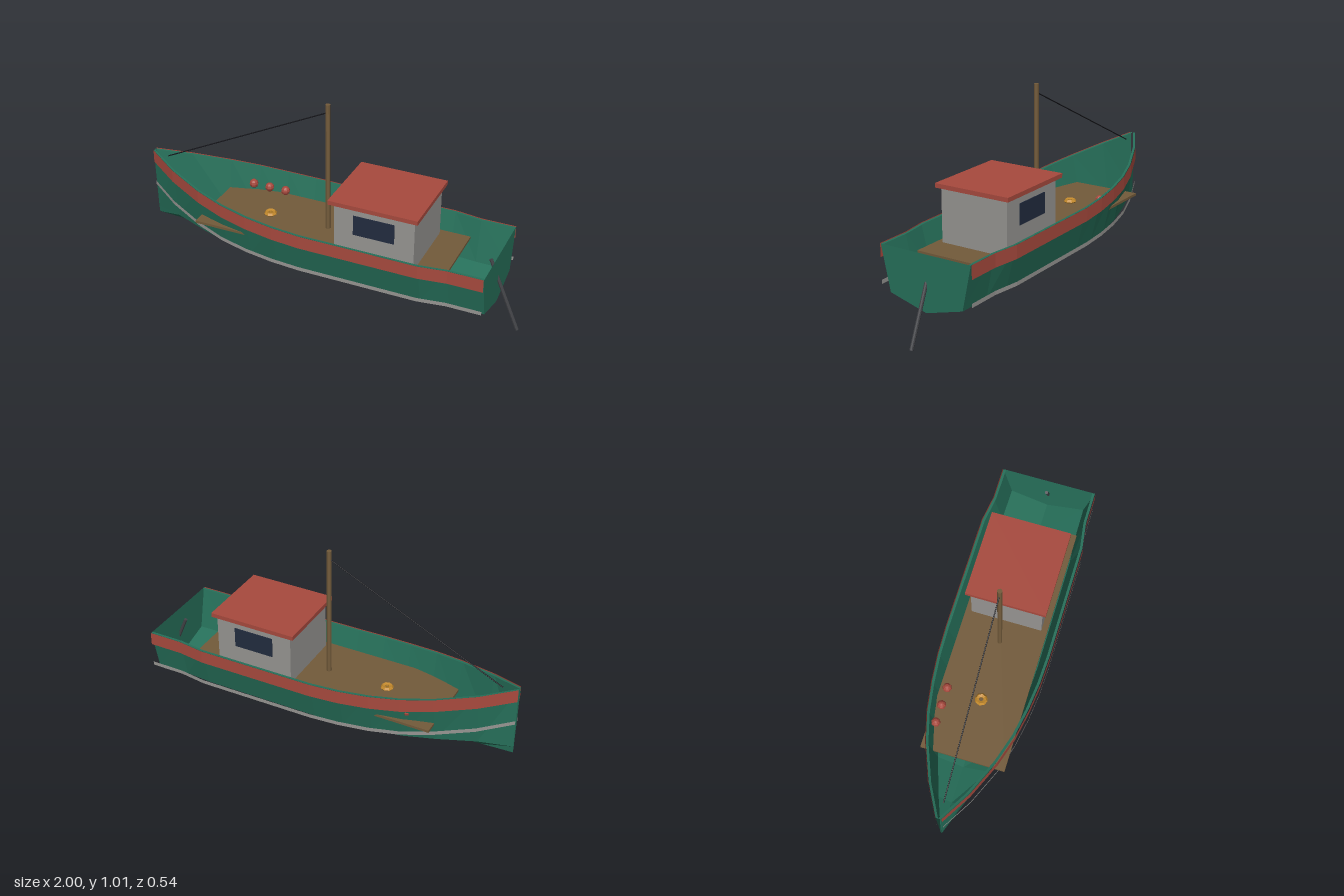
import * as THREE from 'three';

const mat = (name, color) => new THREE.MeshStandardMaterial({ name, color, flatShading: true, side: THREE.DoubleSide });

// Stations from bow to stern: x, half beam, sheer y, keel y, chine half beam, chine y, stripe y
const STATIONS = [
  [-1.0, 0.012, 0.548, 0.172, 0.004, 0.21, 0.36],
  [-0.84, 0.1, 0.512, 0.165, 0.065, 0.225, 0.32],
  [-0.65, 0.177, 0.477, 0.156, 0.13, 0.216, 0.285],
  [-0.5, 0.22, 0.455, 0.149, 0.17, 0.208, 0.262],
  [-0.35, 0.246, 0.438, 0.144, 0.194, 0.202, 0.248],
  [-0.2, 0.262, 0.427, 0.141, 0.207, 0.198, 0.24],
  [-0.05, 0.268, 0.42, 0.14, 0.213, 0.196, 0.235],
  [0.56, 0.268, 0.418, 0.14, 0.213, 0.195, 0.233],
  [0.7, 0.248, 0.418, 0.14, 0.202, 0.195, 0.233],
  [0.875, 0.248, 0.418, 0.14, 0.2, 0.195, 0.233],
];

// Skin a list of cross-sections, each an array of [x, y, z]
function loft(rows) {
  const n = rows[0].length, index = [];
  for (let i = 0; i < rows.length - 1; i++) {
    for (let j = 0; j < n - 1; j++) {
      const a = i * n + j, b = a + 1, c = a + n, d = c + 1;
      index.push(a, b, c, b, d, c);
    }
  }
  const g = new THREE.BufferGeometry();
  g.setAttribute('position', new THREE.Float32BufferAttribute(rows.flat(2), 3));
  g.setIndex(index);
  const flat = g.toNonIndexed();
  flat.computeVertexNormals();
  return flat;
}

export function createModel() {
  const boat = new THREE.Group();
  boat.name = 'fishingBoat';

  const green = mat('hullGreen', 0x26705a);
  const red = mat('trimRed', 0xa84a3e);
  const grey = mat('paintGrey', 0x979592);
  const wood = mat('wood', 0x735b3b);
  const glass = mat('windowBlue', 0x222c3f);
  const amber = mat('ropeAmber', 0xc48a2c);
  const steel = mat('darkSteel', 0x424347);
  const black = mat('lineBlack', 0x15151a);

  const add = (name, geo, material, x = 0, y = 0, z = 0) => {
    const m = new THREE.Mesh(geo, material);
    m.name = name;
    m.position.set(x, y, z);
    boat.add(m);
    return m;
  };
  const box = (name, material, x0, x1, y0, y1, z0, z1) =>
    add(name, new THREE.BoxGeometry(x1 - x0, y1 - y0, z1 - z0), material,
      (x0 + x1) / 2, (y0 + y1) / 2, (z0 + z1) / 2);
  const rod = (name, material, from, to, radius, sides) => {
    const a = new THREE.Vector3(...from), b = new THREE.Vector3(...to);
    const m = add(name, new THREE.CylinderGeometry(radius, radius, a.distanceTo(b), sides), material);
    m.position.copy(a).add(b).multiplyScalar(0.5);
    m.quaternion.setFromUnitVectors(new THREE.Vector3(0, 1, 0), b.sub(a).normalize());
    return m;
  };

  // Open hard-chine hull
  add('hull', loft(STATIONS.map(([x, w, top, keel, cw, cy]) => [
    [x, top, w], [x, cy, cw], [x, keel, 0], [x, cy, -cw], [x, top, -w],
  ])), green);

  // Flat transom closing the stern
  const [sx, sw, sTop, sKeel, scw, scy] = STATIONS[STATIONS.length - 1];
  const outline = [[-sw, sTop], [-scw, scy], [0, sKeel], [scw, scy], [sw, sTop]];
  const transom = add('transom',
    new THREE.ShapeGeometry(new THREE.Shape(outline.map(p => new THREE.Vector2(...p)))), green, sx);
  transom.rotation.y = Math.PI / 2;

  // Gunwale cap, red sheer band and grey rubbing strip on both sides
  for (const [side, s] of [['left', 1], ['right', -1]]) {
    add(side + 'GunwaleCap', loft(STATIONS.map(([x, w, top]) => [
      [x, top, s * Math.max(w - 0.013, 0)], [x, top, s * w],
    ])), green);
    add(side + 'SheerBand', loft(STATIONS.map(([x, w, top]) => [
      [x, top + 0.002, s * (w + 0.004)], [x, top - 0.066, s * (w + 0.004)],
    ])), red);
    add(side + 'RubbingStrip', loft(STATIONS.map(([x, w, , , , , y]) => [
      [x, y + 0.01, s * (w + 0.003)], [x, y - 0.01, s * (w + 0.003)],
    ])), grey);
  }

  // Deck
  box('deck', wood, -0.65, 0.66, 0.312, 0.325, -0.215, 0.215);

  // Wheelhouse
  box('cabin', grey, 0.1, 0.51, 0.325, 0.596, -0.184, 0.184);
  box('cabinRoof', red, 0.075, 0.53, 0.596, 0.618, -0.205, 0.205);
  for (const s of [1, -1]) {
    box('cabinWindow', glass, 0.2, 0.41, 0.45, 0.555, s * 0.1855 - 0.0025, s * 0.1855 + 0.0025);
  }

  // Mast, forestay and rudder
  rod('mast', wood, [-0.015, 0.32, 0], [-0.015, 1.01, 0], 0.0125, 8);
  rod('forestay', black, [-0.92, 0.528, 0], [-0.02, 0.965, 0], 0.003, 6);
  rod('rudderPole', steel, [0.832, 0.37, 0], [0.988, 0.004, 0], 0.009, 8);

  // Floats along the right side and a coil of rope on deck
  for (const x of [-0.52, -0.428, -0.336]) {
    add('float', new THREE.SphereGeometry(0.024, 8, 6), red, x, 0.367, -0.175);
  }
  const coil = add('ropeCoil', new THREE.TorusGeometry(0.021, 0.012, 5, 8), amber, -0.335, 0.33, 0);
  coil.rotation.x = Math.PI / 2;

  return boat;
}
